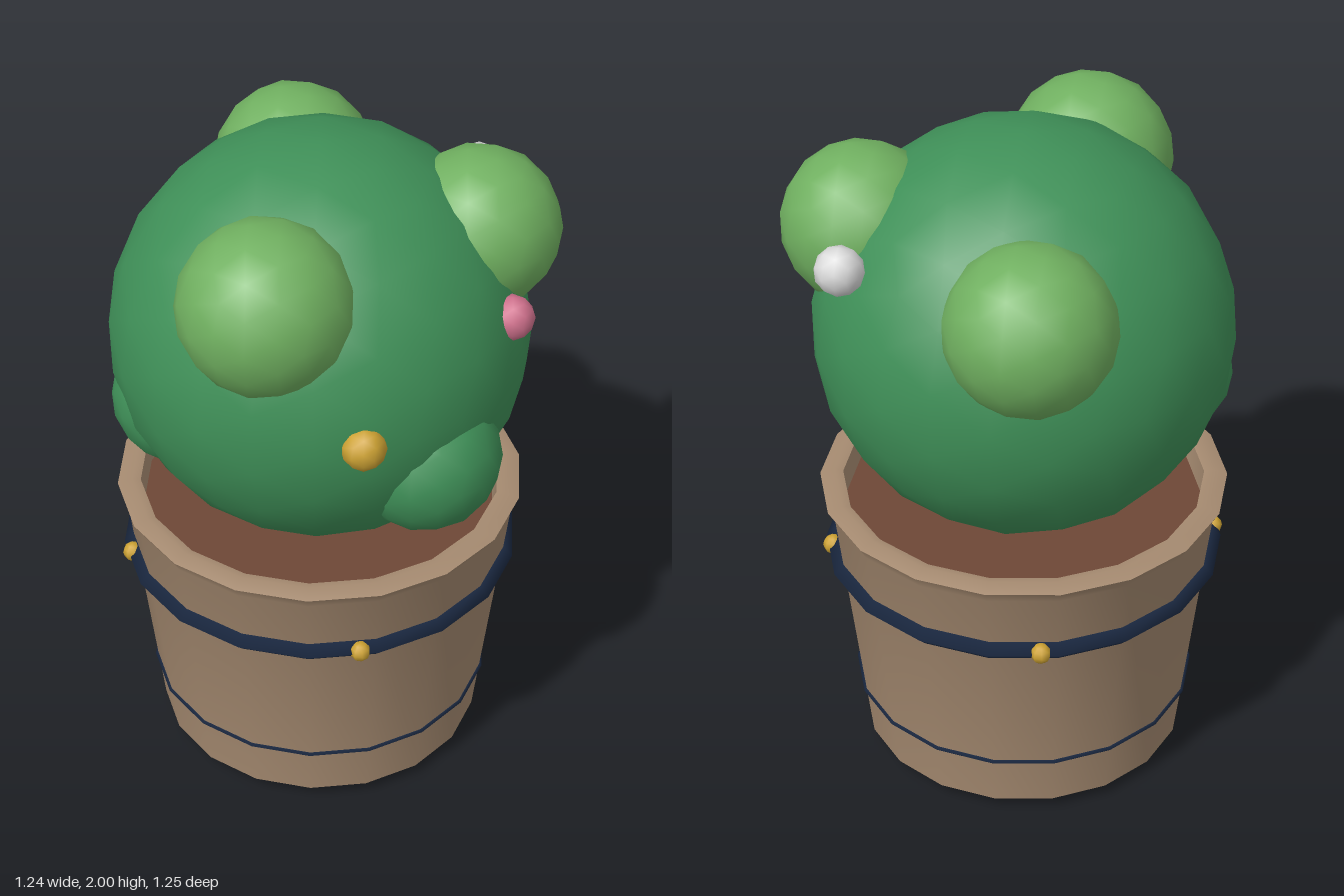
import * as THREE from 'three';
import { toCreasedNormals, mergeVertices } from 'three/addons/utils/BufferGeometryUtils.js';

const mat = (name, color) => {
  const m = new THREE.MeshStandardMaterial({ color });
  m.name = name;
  return m;
};

export function createModel() {
  const root = new THREE.Group();
  root.name = 'pottedCactus';
  const plant = new THREE.Group();
  plant.name = 'plant';
  const pot = new THREE.Group();
  pot.name = 'pot';
  root.add(plant, pot);
  root.position.set(-0.022, 0, -0.03);

  const green = mat('deep green', 0x3f9058);
  const lightGreen = mat('light green', 0x70b060);
  const clay = mat('clay', 0xa58a70);
  const soil = mat('soil brown', 0x6e4736);
  const navy = mat('navy', 0x1b2942);
  const gold = mat('gold', 0xcda233);
  const pink = mat('pink', 0xd0718d);
  const white = mat('white', 0xdadada);
  const sides = 18;

  const add = (parent, name, geometry, material, x = 0, y = 0, z = 0) => {
    const mesh = new THREE.Mesh(geometry, material);
    mesh.name = name;
    mesh.position.set(x, y, z);
    parent.add(mesh);
    return mesh;
  };
  const ball = (name, r, detail, material, x, y, z) =>
    add(plant, name, new THREE.IcosahedronGeometry(r, detail), material, x, y, z);

  // Round body, with smaller growths sunk into its surface
  ball('body', 0.6, 3, green, 0, 1.4, 0);
  ball('frontGrowth', 0.243, 2, lightGreen, 0.1, 1.735, 0.412);
  ball('leftGrowth', 0.232, 2, lightGreen, 0.352, 1.712, -0.27);
  ball('backGrowth', 0.237, 2, lightGreen, -0.315, 1.66, -0.347);
  ball('leftLowGrowth', 0.217, 2, green, 0.428, 1.2, 0.12);
  ball('rightLowGrowth', 0.2, 2, green, -0.28, 1.224, 0.29);

  // Flower buds
  ball('goldBud', 0.063, 1, gold, 0.415, 1.405, 0.418);
  ball('pinkBud', 0.065, 1, pink, 0.552, 1.57, -0.115);
  ball('whiteBud', 0.07, 1, white, 0.2, 1.725, -0.525);

  // Pot wall with chamfered foot, flared lip and inner side
  const profile = [
    [0, 0], [0.44, 0], [0.487, 0.04], [0.577, 0.845],
    [0.598, 0.882], [0.555, 0.895], [0.53, 0.89], [0.515, 0.78],
  ].map(([x, y]) => new THREE.Vector2(x, y));
  const wall = new THREE.LatheGeometry(profile, sides).rotateY(Math.PI / 2);
  wall.deleteAttribute('normal');
  wall.deleteAttribute('uv');
  add(pot, 'potWall', toCreasedNormals(mergeVertices(wall), 0.7), clay);

  // Soil disc
  const disc = new THREE.CircleGeometry(0.522, sides).rotateX(-Math.PI / 2);
  add(pot, 'soil', disc, soil, 0, 0.82, 0);

  // Bands around the pot
  const band = (name, r, tube, y) =>
    add(pot, name, new THREE.TorusGeometry(r, tube, 4, sides).rotateX(Math.PI / 2), navy, 0, y, 0);
  band('upperBand', 0.554, 0.034, 0.66);
  band('lowerBand', 0.504, 0.009, 0.2);

  // Four studs on the upper band
  for (let i = 0; i < 4; i++) {
    const a = Math.PI / 4 + (i * Math.PI) / 2;
    const r = 0.568;
    add(pot, 'stud', new THREE.SphereGeometry(0.03, 8, 6), gold, r * Math.cos(a), 0.66, r * Math.sin(a));
  }
  return root;
}
